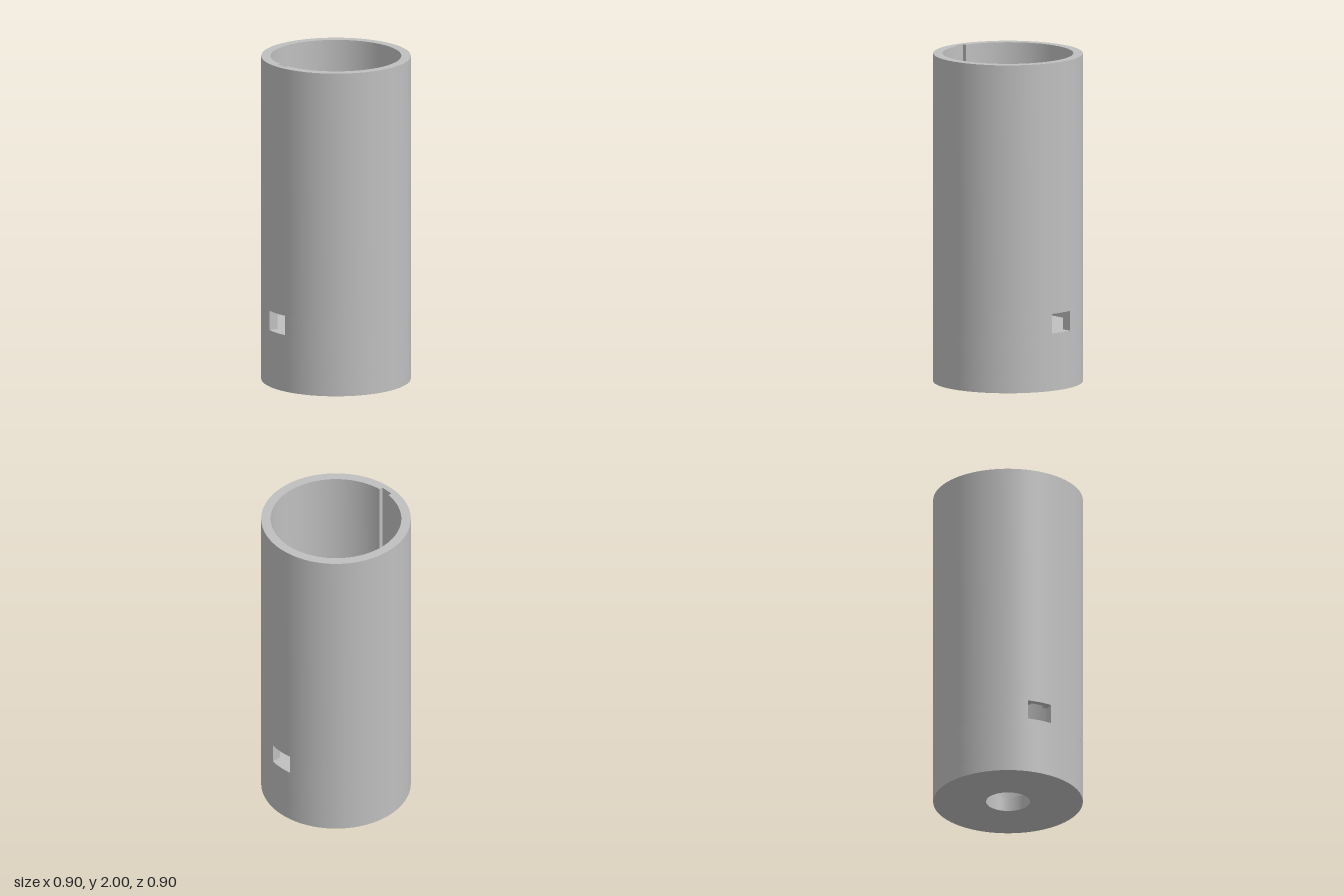
import * as THREE from 'three';
import { toCreasedNormals } from 'three/addons/utils/BufferGeometryUtils.js';

const OUTER = 0.45, BORE = 0.393, HALF = Math.PI / 2;
const FLOOR = 0.35, WINDOW_TOP = 0.47, TOP = 2;
const WINDOW_HALF = 0.077, KEY_HALF = 0.04, KEY_RADIUS = 0.414;

const disc = () => new THREE.Shape().absarc(0, 0, OUTER, 0, Math.PI * 2, false);

function ring(radius) {
  const shape = disc();
  shape.holes.push(new THREE.Path().absarc(0, 0, radius, 0, Math.PI * 2, true));
  return shape;
}

// Round bore with a rectangular keyway on the front side
function keyedRing() {
  const shape = disc();
  const a = Math.asin(KEY_HALF / BORE);
  const hole = new THREE.Path();
  hole.absarc(0, 0, BORE, -HALF + a, 3 * HALF - a, false);
  hole.lineTo(-KEY_HALF, -KEY_RADIUS);
  hole.lineTo(KEY_HALF, -KEY_RADIUS);
  hole.closePath();
  shape.holes.push(hole);
  return shape;
}

// Half of the wall between the front and back windows, with parallel jambs
function wallHalf() {
  const o = HALF - Math.asin(WINDOW_HALF / OUTER);
  const i = HALF - Math.asin(WINDOW_HALF / BORE);
  const shape = new THREE.Shape();
  shape.absarc(0, 0, OUTER, -o, o, false);
  shape.absarc(0, 0, BORE, i, -i, true);
  shape.closePath();
  return shape;
}

export function createModel() {
  const group = new THREE.Group();
  group.name = 'keyedTube';
  const grey = new THREE.MeshStandardMaterial({ color: 0xbfbfbf });
  grey.name = 'grey';

  // Extrude a plan shape upward from y0 to y1
  function layer(name, shape, y0, y1, turn = 0) {
    const extruded = new THREE.ExtrudeGeometry(shape, {
      depth: y1 - y0, bevelEnabled: false, curveSegments: 96,
    });
    extruded.rotateX(-HALF).rotateY(turn).translate(0, y0, 0);
    const mesh = new THREE.Mesh(toCreasedNormals(extruded, 0.5), grey);
    mesh.name = name;
    group.add(mesh);
  }

  // Solid base: through hole with a wider counterbore above it
  layer('baseHole', ring(0.132), 0, 0.09);
  layer('baseCounterbore', ring(0.19), 0.09, FLOOR);

  // Wall beside the windows, whose sills are level with the floor
  layer('leftWindowWall', wallHalf(), FLOOR, WINDOW_TOP);
  layer('rightWindowWall', wallHalf(), FLOOR, WINDOW_TOP, Math.PI);

  // Upper tube with keyway
  layer('upperTube', keyedRing(), WINDOW_TOP, TOP);
  return group;
}
